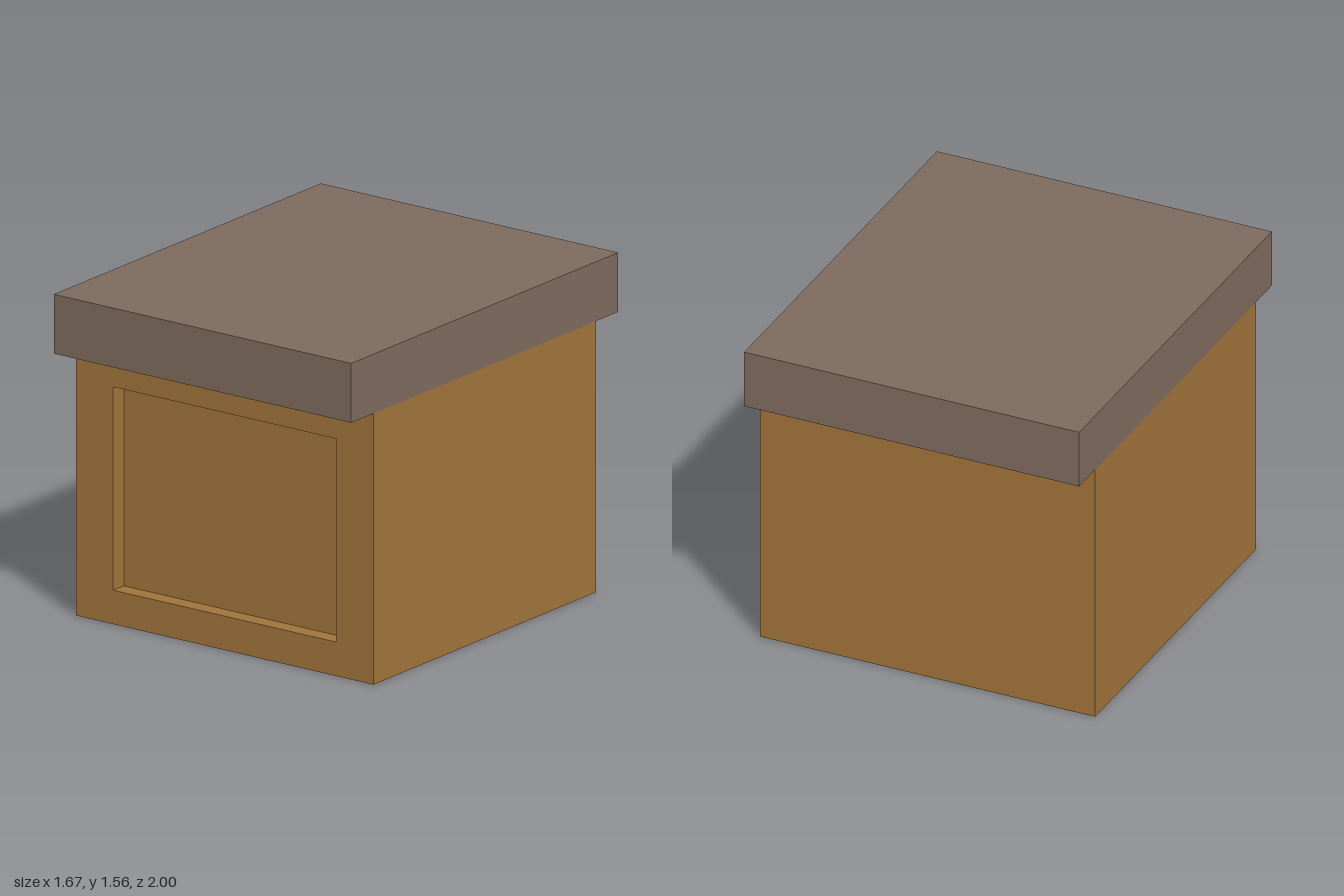
import * as THREE from 'three';

const W = 1.667, H = 1.28, RECESS = 0.08;

export function createModel() {
  const model = new THREE.Group();
  const wood = new THREE.MeshStandardMaterial({ color: 0xa0733a });
  wood.name = 'warm wood';
  const lidBrown = new THREE.MeshStandardMaterial({ color: 0x7e6a5d });
  lidBrown.name = 'grey brown';

  const add = (name, geometry, material, x, y, z) => {
    const mesh = new THREE.Mesh(geometry, material);
    mesh.name = name;
    mesh.position.set(x, y, z);
    model.add(mesh);
  };

  // Solid body; its front face is the floor of the recessed panel
  add('body', new THREE.BoxGeometry(W, H, W - RECESS), wood, 0, H / 2, -RECESS / 2);

  // Front frame around the recess
  const rect = (path, x, y0, y1) =>
    path.moveTo(-x, y0).lineTo(x, y0).lineTo(x, y1).lineTo(-x, y1).closePath();
  const frame = new THREE.Shape();
  rect(frame, W / 2, 0, H);
  const opening = new THREE.Path();
  rect(opening, 0.625, 0.16, 1.12);
  frame.holes.push(opening);
  add('frontFrame', new THREE.ExtrudeGeometry(frame, { depth: RECESS, bevelEnabled: false }),
    wood, 0, 0, W / 2 - RECESS);

  // Flat slab lid, overhanging front and back
  add('lid', new THREE.BoxGeometry(W, 0.28, 2), lidBrown, 0, H + 0.14, 0);

  return model;
}
